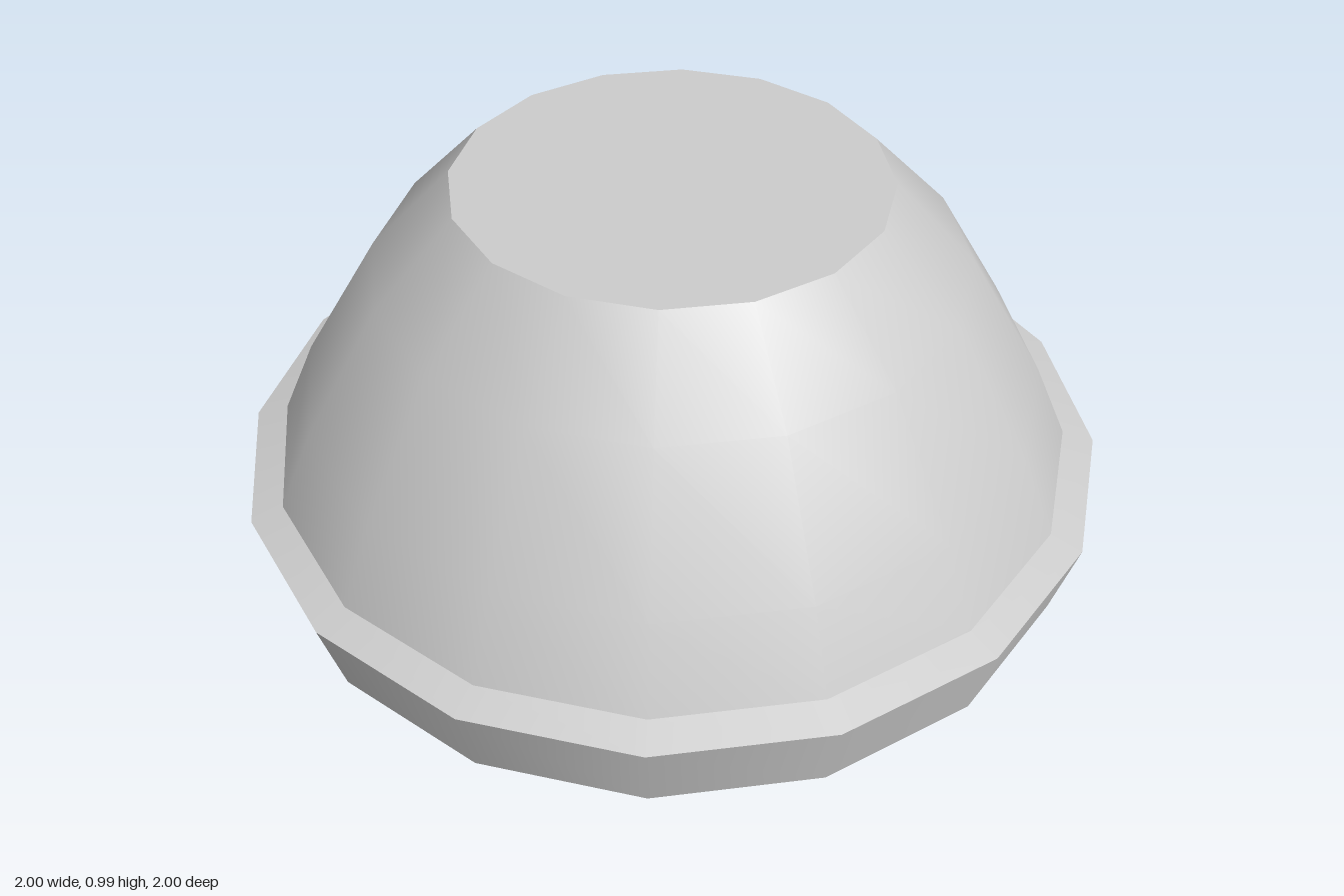
import * as THREE from 'three';

const SIDES = 16;

export function createModel() {
  const model = new THREE.Group();
  model.name = 'hollowDome';
  const grey = new THREE.MeshStandardMaterial({ color: 0xcccccc, side: THREE.DoubleSide });
  grey.name = 'light grey';

  const add = (name, geometry) => {
    const mesh = new THREE.Mesh(geometry, grey);
    mesh.name = name;
    model.add(mesh);
    return mesh;
  };
  // Each band is its own lathe, so the edges between bands stay sharp
  const band = (name, profile) =>
    add(name, new THREE.LatheGeometry(profile.map(([r, y]) => new THREE.Vector2(r, y)), SIDES));

  // Open-bottomed rim
  band('rimChamfer', [[0.83, 0], [0.947, 0.1]]);
  band('rimWall', [[0.947, 0.1], [1, 0.293]]);
  band('rimLedge', [[1, 0.293], [0.926, 0.317]]);

  // Smooth dome shell
  band('dome', [[0.926, 0.317], [0.845, 0.5], [0.668, 0.797], [0.484, 0.99]]);

  // Flat cap closing the top
  const cap = add('topCap', new THREE.CircleGeometry(0.484, SIDES).rotateX(-Math.PI / 2));
  cap.position.y = 0.99;

  return model;
}
